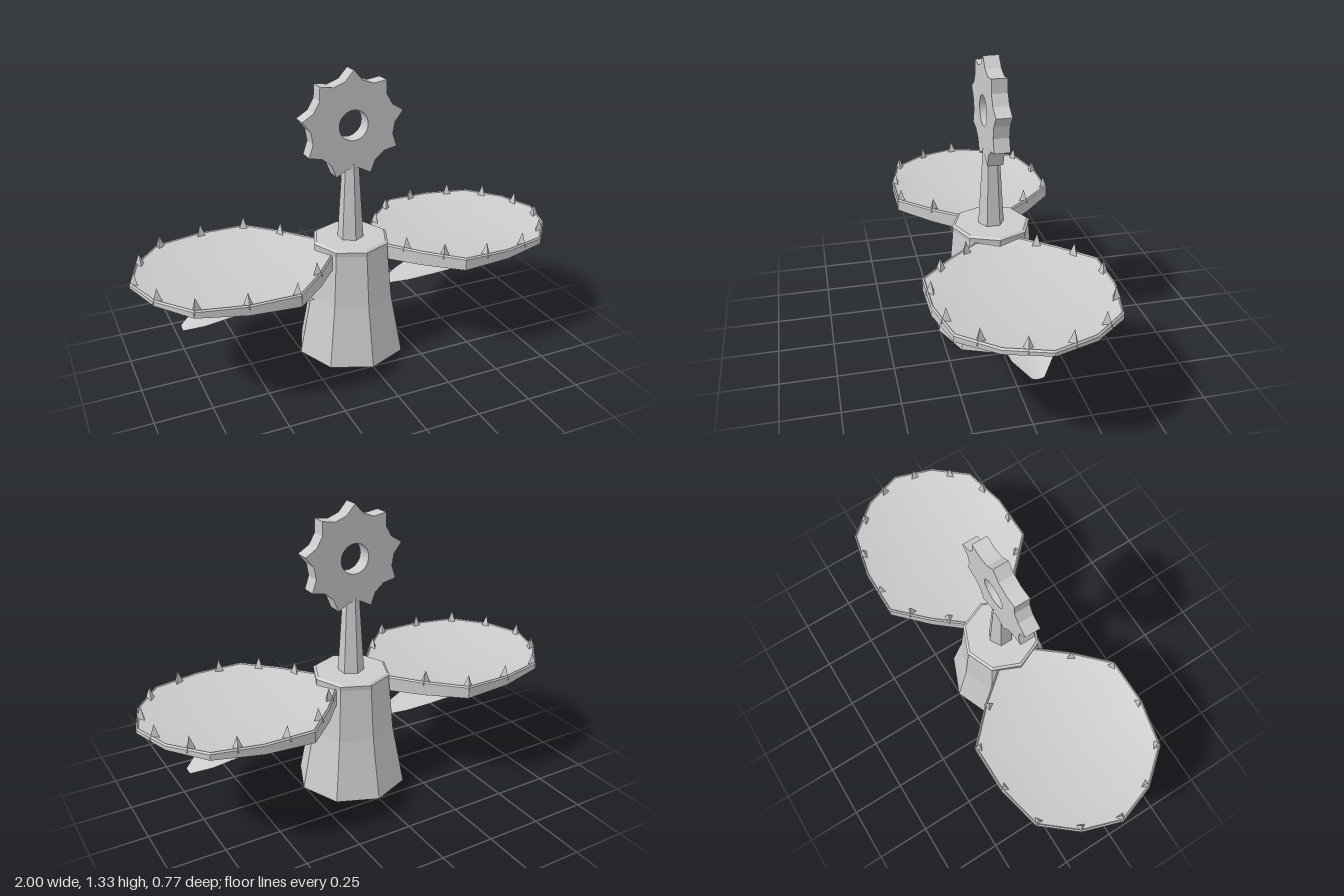
import * as THREE from 'three';
import { toCreasedNormals } from 'three/addons/utils/BufferGeometryUtils.js';

const flat = new THREE.MeshStandardMaterial({ color: 0xcccccc, flatShading: true, side: THREE.DoubleSide });
const smooth = new THREE.MeshStandardMaterial({ color: 0xcccccc, side: THREE.DoubleSide });

function add(parent, name, geometry, material = flat) {
  const mesh = new THREE.Mesh(geometry, material);
  mesh.name = name;
  parent.add(mesh);
  return mesh;
}

// Joins rows of points into a surface; closed rows wrap around
function loft(rows, closed, crease) {
  const n = rows[0].length, index = [];
  for (let i = 0; i < rows.length - 1; i++) {
    for (let j = 0; j < (closed ? n : n - 1); j++) {
      const k = (j + 1) % n, a = i * n + j, b = i * n + k;
      index.push(a, b, a + n, b, b + n, a + n);
    }
  }
  const g = new THREE.BufferGeometry();
  g.setAttribute('position', new THREE.Float32BufferAttribute(rows.flat(2), 3));
  g.setIndex(index);
  return toCreasedNormals(g, crease);
}

// Half outline of a dish, from its outer end to its inner end
const half = [[0.94, 0.18], [0.815, 0.33], [0.605, 0.378], [0.385, 0.378], [0.24, 0.235], [0.13, 0.1]];
const outline = [[1, 0], ...half, ...half.slice().reverse().map(([x, z]) => [x, -z])];
const CX = 0.57;

function dishGeometry() {
  const ring = (s, y) => outline.map(([x, z]) => {
    const px = CX + (x - CX) * s;
    return [px, typeof y === 'function' ? y(px) : y, z * s];
  });
  const rimLow = x => 0.455 + 0.05 * (x - 0.13) / 0.87;
  const under = x => 0.432 + 0.055 * (x - 0.13) / 0.87;
  return loft([
    ring(0, 0.485), ring(0.3, 0.488), ring(0.6, 0.498), ring(0.85, 0.512), ring(0.975, 0.522),
    ring(0.985, 0.527), ring(1, 0.52), ring(1, rimLow), ring(0.9, under), ring(0, under),
  ], true, 0.4);
}

// Spikes stand on the outline's corners or on the middles of its edges
function addSpikes(parent, onCorners) {
  const n = outline.length;
  for (let i = 0; i < n; i++) {
    const [x0, z0] = outline[i], [x1, z1] = outline[(i + 1) % n];
    const x = onCorners ? x0 : (x0 + x1) / 2, z = onCorners ? z0 : (z0 + z1) / 2;
    if (x < 0.15) continue;
    const spike = add(parent, 'spike', new THREE.ConeGeometry(0.025, 0.065, 3));
    spike.position.set(CX + (x - CX) * 0.95, 0.542, z * 0.95);
    spike.rotation.y = Math.atan2(x - CX, z);
  }
}

// Arched leaf with a shallow fold: x, centre height, half width, edge lift
function leafGeometry() {
  const sections = [
    [0.18, 0.272, 0.025, 0.008], [0.27, 0.287, 0.07, 0.013], [0.38, 0.308, 0.105, 0.016],
    [0.5, 0.32, 0.117, 0.017], [0.62, 0.315, 0.112, 0.015], [0.72, 0.29, 0.085, 0.01], [0.8, 0.26, 0.025, 0.005],
  ];
  return loft(sections.map(([x, y, w, lift]) =>
    [-1, -0.5, 0, 0.5, 1].map(t => [x, y + lift * t * t, w * t])), false, 0.6);
}

function gearGeometry() {
  const teeth = 9, points = [];
  for (let i = 0; i < teeth; i++) {
    for (const [deg, r] of [[0, 0.24], [12, 0.198], [28, 0.198]]) {
      const a = (i * 360 / teeth + deg) * Math.PI / 180;
      points.push(new THREE.Vector2(r * Math.sin(a), r * Math.cos(a)));
    }
  }
  const shape = new THREE.Shape(points);
  shape.holes.push(new THREE.Path().absarc(0, 0, 0.068, 0, Math.PI * 2, true));
  return new THREE.ExtrudeGeometry(shape, { depth: 0.07, bevelEnabled: false, curveSegments: 16 }).translate(0, 1.085, -0.035);
}

export function createModel() {
  const model = new THREE.Group();

  // Eight-sided base, open underneath
  const profile = [[0.255, 0], [0.2, 0.28], [0.177, 0.525], [0.18, 0.545], [0.168, 0.553], [0, 0.553]];
  add(model, 'base', new THREE.LatheGeometry(profile.map(p => new THREE.Vector2(...p)), 8));

  // Post and toothed wheel
  add(model, 'post', new THREE.CylinderGeometry(0.037, 0.06, 0.37, 6)).position.y = 0.725;
  add(model, 'toothedWheel', gearGeometry());

  // A spiked dish and a leaf on each side
  for (const side of ['left', 'right']) {
    const arm = new THREE.Group();
    arm.name = side + 'Arm';
    add(arm, side + 'Dish', dishGeometry(), smooth);
    addSpikes(arm, side === 'right');
    add(arm, side + 'Leaf', leafGeometry(), smooth);
    if (side === 'right') arm.rotation.y = Math.PI;
    model.add(arm);
  }
  return model;
}
